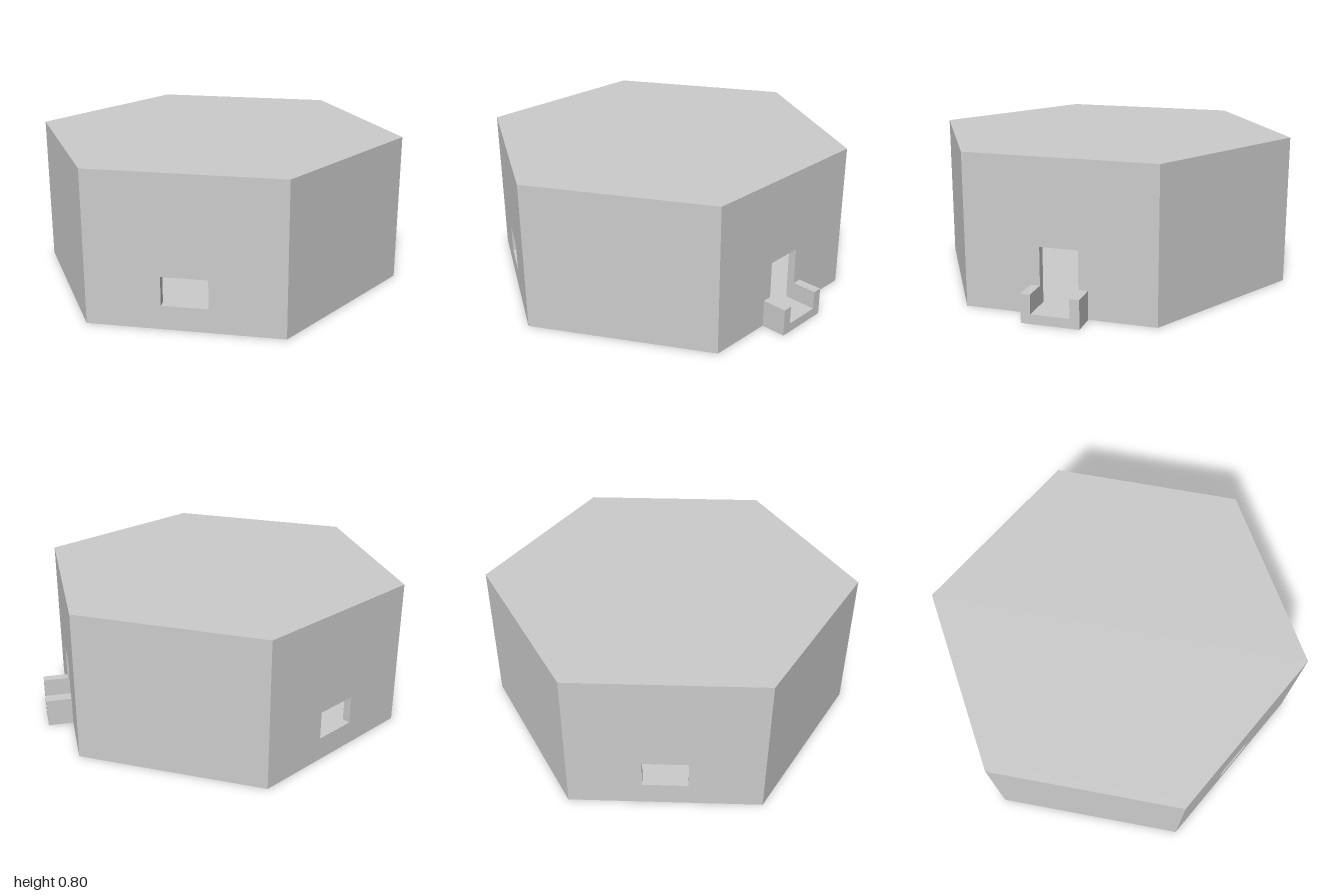
import * as THREE from 'three';

const HEIGHT = 0.8;
const APOTHEM = Math.sqrt(3) / 2;
const INNER = 0.95; // inner hexagon radius, outer is 1
const THICK = APOTHEM * (1 - INNER);
const SLAB = 0.05;

const material = new THREE.MeshStandardMaterial({ color: 0xcccccc, flatShading: true });

function add(parent, name, geometry, x = 0, y = 0, z = 0) {
  const mesh = new THREE.Mesh(geometry, material);
  mesh.name = name;
  mesh.position.set(x, y, z);
  parent.add(mesh);
  return mesh;
}

function rectangle(Type, halfWidth, bottom, top) {
  return new Type([
    new THREE.Vector2(-halfWidth, bottom), new THREE.Vector2(halfWidth, bottom),
    new THREE.Vector2(halfWidth, top), new THREE.Vector2(-halfWidth, top),
  ]);
}

// One side of the hexagon, mitred at its ends, with an optional opening
function wallGeometry(opening) {
  const shape = rectangle(THREE.Shape, 0.5, 0, HEIGHT);
  if (opening) shape.holes.push(rectangle(THREE.Path, ...opening));
  const geometry = new THREE.ExtrudeGeometry(shape, { depth: THICK, bevelEnabled: false });
  const p = geometry.attributes.position;
  for (let i = 0; i < p.count; i++) {
    if (p.getZ(i) < THICK / 2 && Math.abs(p.getX(i)) > 0.49) p.setX(i, p.getX(i) * INNER);
  }
  geometry.translate(0, 0, APOTHEM - THICK);
  geometry.computeVertexNormals();
  return geometry;
}

export function createModel() {
  const model = new THREE.Group();
  model.name = 'hexagonalHut';

  const hut = new THREE.Group();
  hut.name = 'hut';
  hut.position.x = -0.067;
  model.add(hut);

  // Walls, by the compass angle of their outward normal
  const door = [0.1, SLAB, 0.35];
  const window = [0.118, 0.126, 0.277];
  const walls = [
    ['doorWall', 90, door],
    ['frontRightWall', 30, null],
    ['frontWindowWall', -30, window],
    ['sideWall', -90, null],
    ['backWindowWall', -150, window],
    ['backRightWall', 150, null],
  ];
  for (const [name, angle, opening] of walls) {
    add(hut, name, wallGeometry(opening)).rotation.y = THREE.MathUtils.degToRad(angle);
  }

  // Floor and roof fill the hollow flush with the wall ends
  const slab = new THREE.CylinderGeometry(INNER, INNER, SLAB, 6);
  add(hut, 'floor', slab, 0, SLAB / 2, 0);
  add(hut, 'roof', slab, 0, HEIGHT - SLAB / 2, 0);

  // Pair of boards on the inside of the wall facing the door
  const board = new THREE.BoxGeometry(0.02, 0.074, 0.236);
  for (const y of [0.163, 0.239]) add(hut, 'innerBoard', board, -APOTHEM + THICK + 0.01, y, 0);

  // Doorstep with a low parapet on each side
  const x0 = APOTHEM - 0.067;
  const depth = 0.933 - x0;
  const x = x0 + depth / 2;
  add(model, 'doorstep', new THREE.BoxGeometry(depth, SLAB, 0.2), x, SLAB / 2, 0);
  for (const side of [-1, 1]) {
    add(model, 'parapet', new THREE.BoxGeometry(depth, 0.15, 0.05), x, 0.075, side * 0.125);
  }

  return model;
}
